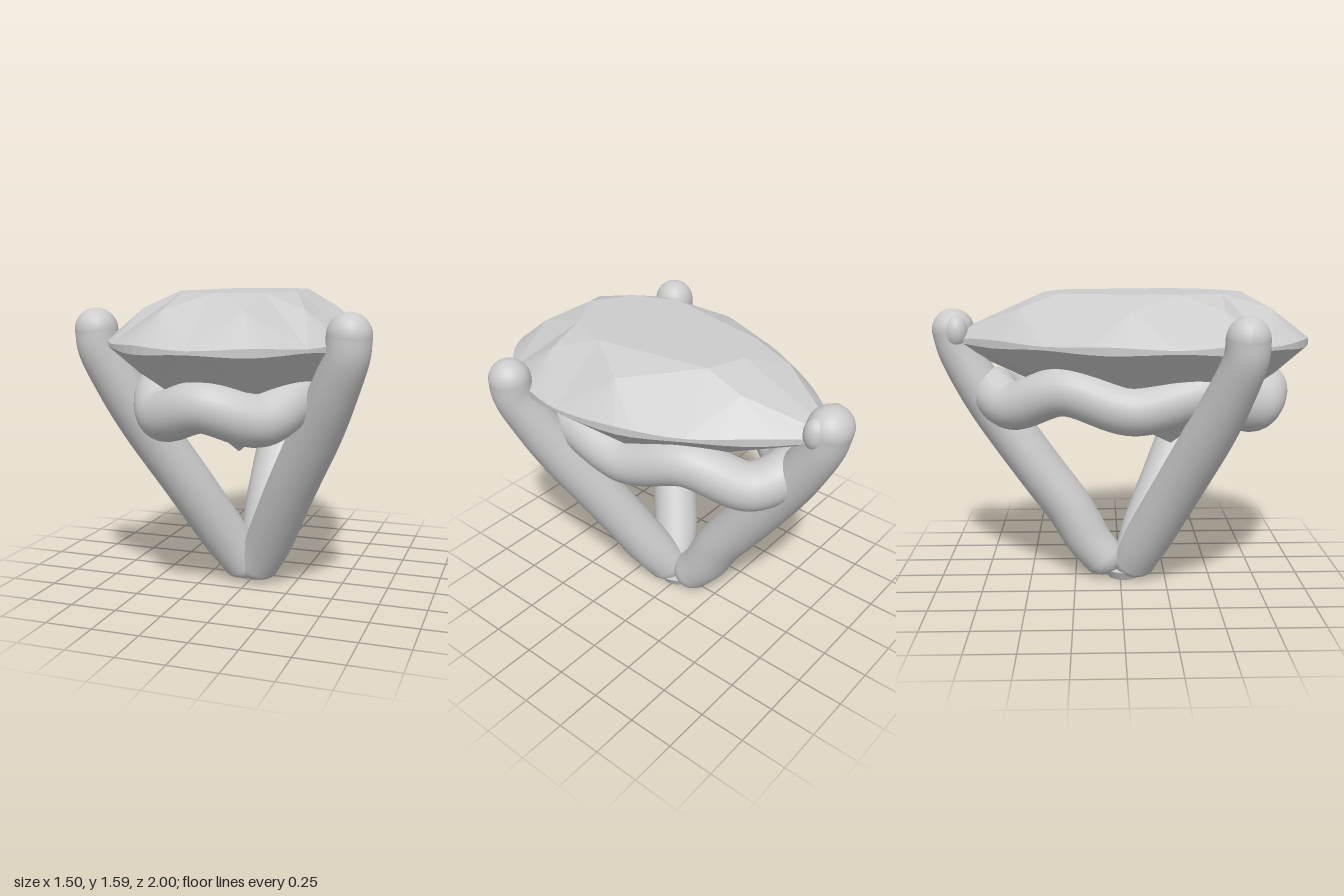
import * as THREE from 'three';

const V = (x, y, z) => new THREE.Vector3(x, y, z);

function addMesh(parent, name, geometry, flatShading = false) {
  const mat = new THREE.MeshStandardMaterial({ color: 0xcccccc, flatShading });
  const mesh = new THREE.Mesh(geometry, mat);
  mesh.name = name;
  parent.add(mesh);
  return mesh;
}

// Pear-cut stone: table, crown facets, thin girdle and pointed pavilion
function gemGeometry() {
  const flip = (list) => list.map(([x, z]) => [-x, z]).reverse();
  const closeLoop = (half) => [...flip(half), ...half.slice(1)];

  const outline = closeLoop([[0, 1], [0.28, 0.93], [0.49, 0.74], [0.6, 0.52], [0.64, 0.27],
    [0.593, -0.08], [0.455, -0.39], [0.26, -0.66], [0, -0.94]]);
  const curve = new THREE.CatmullRomCurve3(outline.map(([x, z]) => V(x, 0, z)));
  const rim = curve.getPoints(64).slice(0, 64);
  const scallop = (i) => 0.006 * Math.cos((i / 4) * Math.PI);
  const top = rim.map((p, i) => V(p.x, 1.372 - scallop(i), p.z));
  const low = rim.map((p, i) => V(p.x, 1.342 + scallop(i), p.z));

  const table = closeLoop([[0, 0.64], [0.21, 0.51], [0.31, 0.28], [0.2, -0.32], [0, -0.4]])
    .slice(0, 8).map(([x, z]) => V(x, 1.605, z));
  const midHalf = [[0.2, 0.77], [0.41, 0.51], [0.45, 0.04], [0.2, -0.52]];
  const mid = [...flip(midHalf), ...midHalf].map(([x, z]) => V(x, 1.53, z));
  const culet = V(0, 0.78, 0.28);
  const under = mid.map((_, k) => {
    const q = culet.clone().lerp(low[8 * k + 4], 0.8);
    q.y -= 0.02;
    return q;
  });

  const pos = [];
  const tri = (...pts) => pts.forEach((p) => pos.push(p.x, p.y, p.z));
  for (let k = 0; k < 8; k++) {
    const n = (k + 1) % 8, b = (k + 7) % 8, j = 8 * k;
    if (k > 0 && k < 7) tri(table[0], table[k], table[n]);
    // star and kite facets of the crown
    tri(mid[k], table[n], table[k]);
    tri(top[j], mid[k], table[k]);
    tri(top[j], table[k], mid[b]);
    // main facets of the pavilion
    tri(low[j], culet, under[k]);
    tri(low[j], under[b], culet);
    // small facets meeting the girdle
    for (let i = j; i < j + 8; i++) {
      const m = (i + 1) % 64;
      tri(top[i], top[m], mid[k]);
      tri(low[m], low[i], under[k]);
      tri(low[i], low[m], top[m]);
      tri(low[i], top[m], top[i]);
    }
  }
  const g = new THREE.BufferGeometry();
  g.setAttribute('position', new THREE.Float32BufferAttribute(pos, 3));
  g.computeVertexNormals();
  return g;
}

// Round claw, thickest in the middle, with a domed tip and a flattened foot
function prong(name, points, radius, tipRadius, widthScale = 1) {
  const group = new THREE.Group();
  group.name = name;
  const path = new THREE.CatmullRomCurve3(points);
  const steps = 60, sides = 24, floor = 0.045;
  const footRadius = radius * 0.9;
  const shaft = new THREE.TubeGeometry(path, steps, radius, sides);
  const pos = shaft.attributes.position;
  const v = V(0, 0, 0);
  for (let i = 0; i <= steps; i++) {
    const c = path.getPointAt(i / steps);
    const r = THREE.MathUtils.lerp(footRadius, radius, THREE.MathUtils.smoothstep(i / steps, 0, 0.15));
    const s = THREE.MathUtils.lerp(r, tipRadius, THREE.MathUtils.smoothstep(i / steps, 0.6, 1)) / radius;
    for (let j = 0; j <= sides; j++) {
      const id = i * (sides + 1) + j;
      v.fromBufferAttribute(pos, id).sub(c).multiplyScalar(s).add(c);
      pos.setXYZ(id, v.x, Math.max(v.y, floor), v.z);
    }
  }
  const ball = (p, r) => {
    const g = new THREE.SphereGeometry(r, 24, 16).translate(p.x, p.y, p.z);
    const a = g.attributes.position;
    for (let i = 0; i < a.count; i++) a.setY(i, Math.max(a.getY(i), floor));
    g.computeVertexNormals();
    return g;
  };
  const parts = {
    shaft,
    foot: ball(points[0], footRadius),
    tip: ball(points[points.length - 1], tipRadius),
  };
  for (const [part, g] of Object.entries(parts)) {
    g.scale(widthScale, 1, 1);
    addMesh(group, part, g);
  }
  return group;
}

export function createModel() {
  const model = new THREE.Group();
  model.name = 'gemSetting';

  addMesh(model, 'pearGem', gemGeometry(), true);

  // Wavy gallery wire under the stone
  const half = [[0, 1.09, 0.78], [0.24, 1.02, 0.68], [0.365, 1.11, 0.43], [0.38, 1.03, 0.06],
    [0.31, 1.12, -0.29], [0.16, 1.02, -0.57], [0, 1.08, -0.68]].map((p) => V(...p));
  const back = half.slice(1, -1).reverse().map((p) => V(-p.x, p.y, p.z));
  const wire = new THREE.CatmullRomCurve3([...half, ...back], true);
  addMesh(model, 'galleryWire', new THREE.TubeGeometry(wire, 180, 0.126, 24, true));

  // Two front prongs
  for (const [name, s] of [['leftProng', 1], ['rightProng', -1]]) {
    const pts = [[0.045, 0.12, 0.085], [0.1, 0.22, 0.125], [0.285, 0.6, 0.295], [0.44, 0.9, 0.425],
      [0.56, 1.15, 0.525], [0.632, 1.33, 0.58], [0.642, 1.42, 0.585]];
    model.add(prong(name, pts.map(([x, y, z]) => V(s * x, y, z)), 0.128, 0.107));
  }

  // Wider prong at the point of the stone, with two lobes gripping it
  const rear = [[0, 0.13, -0.1], [0, 0.22, -0.17], [0, 0.42, -0.285], [0, 0.6, -0.415],
    [0, 0.85, -0.59], [0, 1.1, -0.755], [0, 1.3, -0.86], [0, 1.405, -0.888]];
  const backProng = prong('backProng', rear.map((p) => V(...p)), 0.128, 0.112, 1.1);
  for (const s of [1, -1]) {
    const lobe = new THREE.SphereGeometry(0.06, 20, 14).scale(1, 1.4, 1);
    addMesh(backProng, 'gripLobe', lobe.translate(s * 0.082, 1.4, -0.86));
  }
  model.add(backProng);

  // Small base pad where the prongs meet
  const pad = new THREE.CylinderGeometry(0.125, 0.1, 0.05, 32).scale(1, 1, 0.9);
  addMesh(model, 'basePad', pad.translate(0, 0.043, 0.02));

  return model;
}
